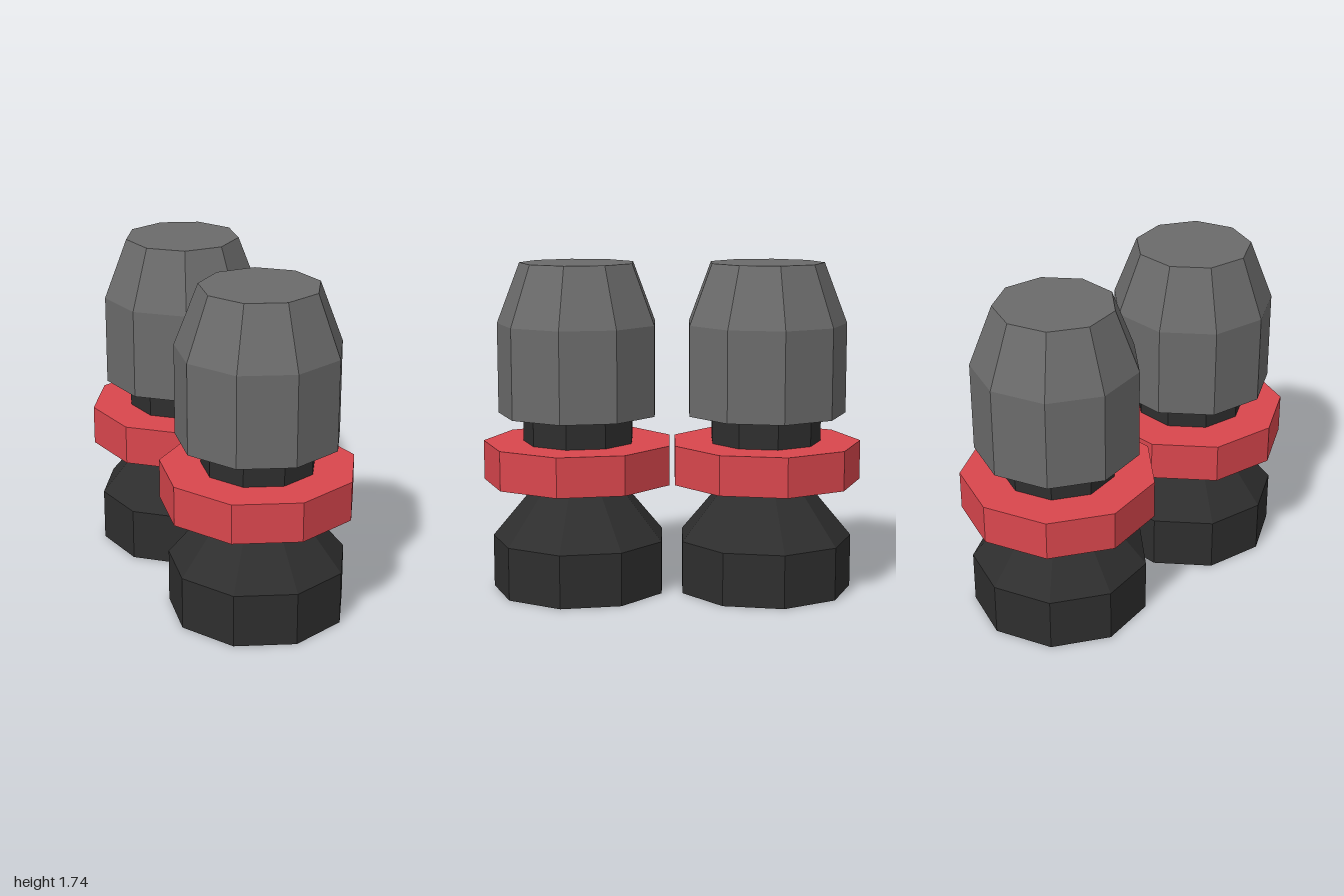
import * as THREE from 'three';

const SIDES = 9;
const OFFSET = 0.492; // distance of each post from the centre

const material = (color) => new THREE.MeshStandardMaterial({ color, flatShading: true });

// Nine-sided section between two heights, one corner facing +z
function section(name, bottomRadius, topRadius, y0, y1, mat, open = false) {
  const geometry = new THREE.CylinderGeometry(topRadius, bottomRadius, y1 - y0, SIDES, 1, open);
  geometry.translate(0, (y0 + y1) / 2, 0);
  const mesh = new THREE.Mesh(geometry, mat);
  mesh.name = name;
  return mesh;
}

// Faceted profile turned around the post axis
function turned(name, points, mat) {
  const profile = points.map(([r, y]) => new THREE.Vector2(r, y));
  const mesh = new THREE.Mesh(new THREE.LatheGeometry(profile, SIDES), mat);
  mesh.name = name;
  return mesh;
}

export function createModel() {
  const dark = material(0x2e2e2e);
  const red = material(0xd9464d);
  const grey = material(0x6b6b6b);

  const model = new THREE.Group();
  model.name = 'pairOfPosts';

  for (const side of [1, -1]) {
    const post = new THREE.Group();
    post.name = side > 0 ? 'frontPost' : 'backPost';

    // Foot with tapered shoulder
    post.add(turned('base', [[0, 0], [0.465, 0], [0.465, 0.28], [0.21, 0.587]], dark));
    // Wide collar
    post.add(section('collar', 0.508, 0.508, 0.587, 0.795, red));
    // Narrow neck between collar and cap
    post.add(section('neck', 0.297, 0.297, 0.795, 0.945, dark, true));
    // Cap with chamfered top
    post.add(turned('cap', [[0, 0.945], [0.427, 0.945], [0.427, 1.42], [0.305, 1.737], [0, 1.737]], grey));

    // Back post is turned so its corner faces -z
    post.position.z = side * OFFSET;
    if (side < 0) post.rotation.y = Math.PI;
    model.add(post);
  }
  return model;
}
